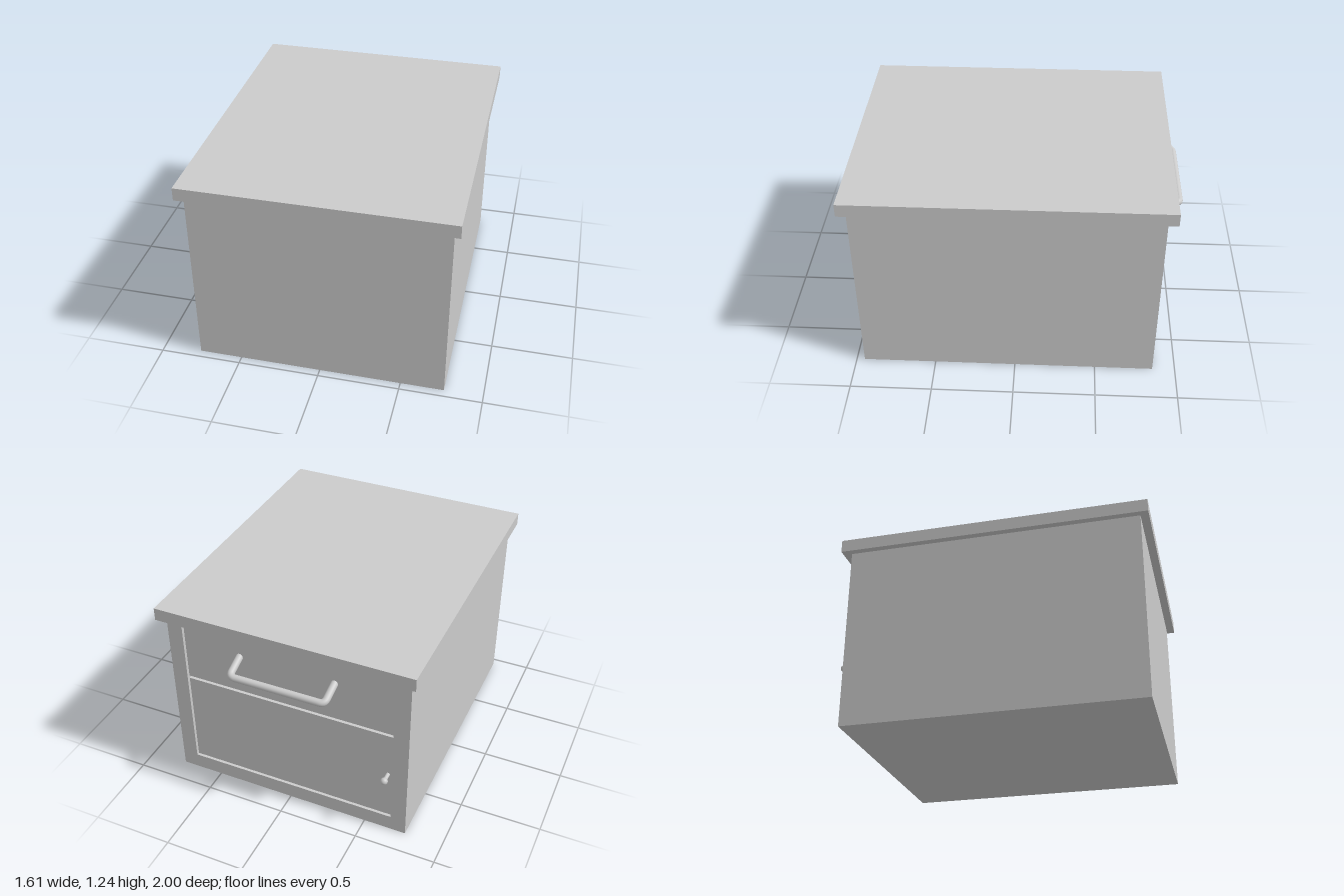
import * as THREE from 'three';

const material = new THREE.MeshStandardMaterial({ color: 0xcccccc });

function add(group, name, geometry, x = 0, y = 0, z = 0) {
  const mesh = new THREE.Mesh(geometry, material);
  mesh.name = name;
  mesh.position.set(x, y, z);
  group.add(mesh);
  return mesh;
}

// Box given by its limits on each axis
function addBox(group, name, [x0, x1], [y0, y1], [z0, z1]) {
  return add(group, name, new THREE.BoxGeometry(x1 - x0, y1 - y0, z1 - z0),
    (x0 + x1) / 2, (y0 + y1) / 2, (z0 + z1) / 2);
}

function rectangle(PathType, x, y0, y1) {
  return new PathType([[-x, y0], [x, y0], [x, y1], [-x, y1]].map(p => new THREE.Vector2(...p)));
}

export function createModel() {
  const model = new THREE.Group();
  model.name = 'cabinet';

  const W = 0.765, H = 1.16, BACK = -0.86, DEPTH = 0.05;

  // Carcass and overhanging top
  addBox(model, 'carcass', [-W, W], [0, H], [BACK + DEPTH, 0.95]);
  addBox(model, 'top', [-0.805, 0.805], [H, 1.24], [-0.915, 1]);

  // Frame around the opening
  const frame = rectangle(THREE.Shape, W, 0, H);
  frame.holes.push(rectangle(THREE.Path, 0.668, 0.1, 1.13));
  add(model, 'openingFrame',
    new THREE.ExtrudeGeometry(frame, { depth: DEPTH, bevelEnabled: false }), 0, 0, BACK);

  // Slightly recessed drawer front and door
  const face = BACK + 0.015;
  addBox(model, 'drawerFront', [-0.664, 0.664], [0.742, 1.127], [face, BACK + DEPTH]);
  addBox(model, 'door', [-0.664, 0.664], [0.103, 0.724], [face, BACK + DEPTH]);

  // Bent bar handle sloping down from the drawer
  const v = (x, y, z) => new THREE.Vector3(x, y, z);
  const path = new THREE.CurvePath();
  const base = s => v(s * 0.301, 1.0, face + 0.01);
  const bendIn = s => v(s * 0.299, 0.962, -0.945);
  const corner = s => v(s * 0.298, 0.949, -0.977);
  const bendOut = s => v(s * 0.262, 0.949, -0.977);
  path.add(new THREE.LineCurve3(base(-1), bendIn(-1)));
  path.add(new THREE.QuadraticBezierCurve3(bendIn(-1), corner(-1), bendOut(-1)));
  path.add(new THREE.LineCurve3(bendOut(-1), bendOut(1)));
  path.add(new THREE.QuadraticBezierCurve3(bendOut(1), corner(1), bendIn(1)));
  path.add(new THREE.LineCurve3(bendIn(1), base(1)));
  add(model, 'drawerHandle', new THREE.TubeGeometry(path, 120, 0.022, 20));

  // Door knob: stem and ball
  const knob = new THREE.Group();
  knob.name = 'doorKnob';
  knob.position.set(-0.638, 0.43, 0);
  add(knob, 'knobStem', new THREE.CylinderGeometry(0.012, 0.012, 0.07, 20), 0, 0, -0.87)
    .rotation.x = Math.PI / 2;
  add(knob, 'knobBall', new THREE.SphereGeometry(0.022, 24, 16), 0, 0, -0.907);
  model.add(knob);

  return model;
}
